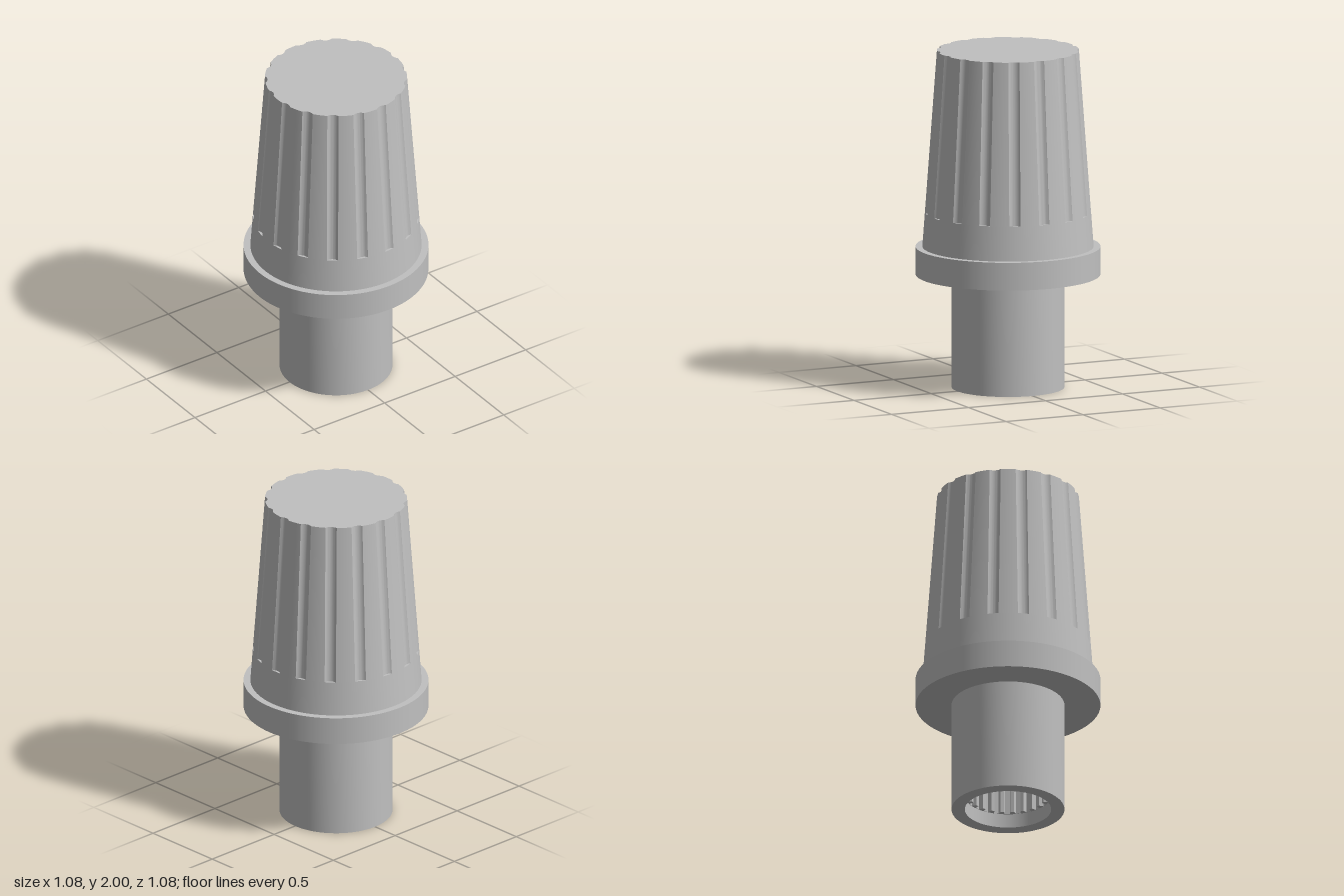
import * as THREE from 'three';
import { toCreasedNormals } from 'three/addons/utils/BufferGeometryUtils.js';

const GROOVES = 17, TEETH = 24;
const COLLAR_Y = 0.67, SKIRT_Y = 0.835, FLOOR_Y = 1.04, TOP_Y = 2;
const coneRadius = (y) => 0.5 - 0.085 * (y - SKIRT_Y) / (TOP_Y - SKIRT_Y);

// Circle of radius R with round grooves scooped out of its edge
function groovedRing(R) {
  const w = 0.033, sag = 0.013, rho = (w * w + sag * sag) / (2 * sag);
  const xEdge = Math.sqrt(R * R - w * w), half = Math.asin(w / R);
  const step = Math.PI * 2 / GROOVES, arc = Math.asin(w / rho);
  const ring = [];
  for (let k = 0; k < GROOVES; k++) {
    const a = k * step, c = Math.cos(a), s = Math.sin(a);
    for (let i = 0; i <= 10; i++) {
      const b = arc * (i / 5 - 1);
      const t = rho * Math.sin(b), x = xEdge + rho - sag - rho * Math.cos(b);
      ring.push(new THREE.Vector2(x * c - t * s, x * s + t * c));
    }
    for (let i = 1; i < 6; i++) {
      const b = a + half + (step - 2 * half) * i / 6;
      ring.push(new THREE.Vector2(R * Math.cos(b), R * Math.sin(b)));
    }
  }
  return ring;
}

// Wall joining two rings of equal point count
function loft(low, yLow, high, yHigh) {
  const pos = [];
  const put = (p, y) => pos.push(p.x, y, -p.y);
  for (let i = 0; i < low.length; i++) {
    const j = (i + 1) % low.length;
    put(low[i], yLow); put(low[j], yLow); put(high[j], yHigh);
    put(low[i], yLow); put(high[j], yHigh); put(high[i], yHigh);
  }
  const geo = new THREE.BufferGeometry();
  geo.setAttribute('position', new THREE.Float32BufferAttribute(pos, 3));
  return toCreasedNormals(geo, 0.5);
}

export function createModel() {
  const group = new THREE.Group();
  const grey = new THREE.MeshStandardMaterial({ color: 0xc0c0c0 });
  grey.name = 'grey plastic';
  const add = (name, geo, y = 0) => {
    const mesh = new THREE.Mesh(geo, grey);
    mesh.name = name;
    mesh.position.y = y;
    group.add(mesh);
    return mesh;
  };

  // Hollow stem
  const profile = [[0.252, COLLAR_Y], [0.252, 0], [0.33, 0], [0.33, COLLAR_Y]];
  const stem = new THREE.LatheGeometry(profile.map(([x, y]) => new THREE.Vector2(x, y)), 96);
  add('stem', toCreasedNormals(stem, 0.5));

  // Toothed sleeve set back inside the bore
  const sleeve = new THREE.Shape().absarc(0, 0, 0.254, 0, Math.PI * 2);
  const teeth = [];
  for (let k = 0; k < TEETH; k++) {
    for (const [f, r] of [[0, 0.25], [0.45, 0.25], [0.55, 0.222], [0.9, 0.222]]) {
      const a = (k + f) * Math.PI * 2 / TEETH;
      teeth.push(new THREE.Vector2(r * Math.cos(a), r * Math.sin(a)));
    }
  }
  sleeve.holes.push(new THREE.Path(teeth));
  const sleeveGeo = new THREE.ExtrudeGeometry(sleeve,
    { depth: COLLAR_Y - 0.09, bevelEnabled: false, curveSegments: 48 });
  sleeveGeo.rotateX(-Math.PI / 2);
  add('boreTeeth', sleeveGeo, 0.085);

  // Collar
  const collarH = SKIRT_Y - COLLAR_Y;
  add('collar', new THREE.CylinderGeometry(0.54, 0.54, collarH, 96), COLLAR_Y + collarH / 2);

  // Plain skirt; its upper face forms the floors of the grooves
  const skirtH = FLOOR_Y - SKIRT_Y;
  add('skirt', new THREE.CylinderGeometry(coneRadius(FLOOR_Y), 0.5, skirtH, 136), SKIRT_Y + skirtH / 2);

  // Grooved grip and its flat top
  const topRing = groovedRing(coneRadius(TOP_Y));
  add('grip', loft(groovedRing(coneRadius(FLOOR_Y)), FLOOR_Y, topRing, TOP_Y));
  const cap = new THREE.ShapeGeometry(new THREE.Shape(topRing));
  cap.rotateX(-Math.PI / 2);
  add('gripTop', cap, TOP_Y);

  return group;
}
